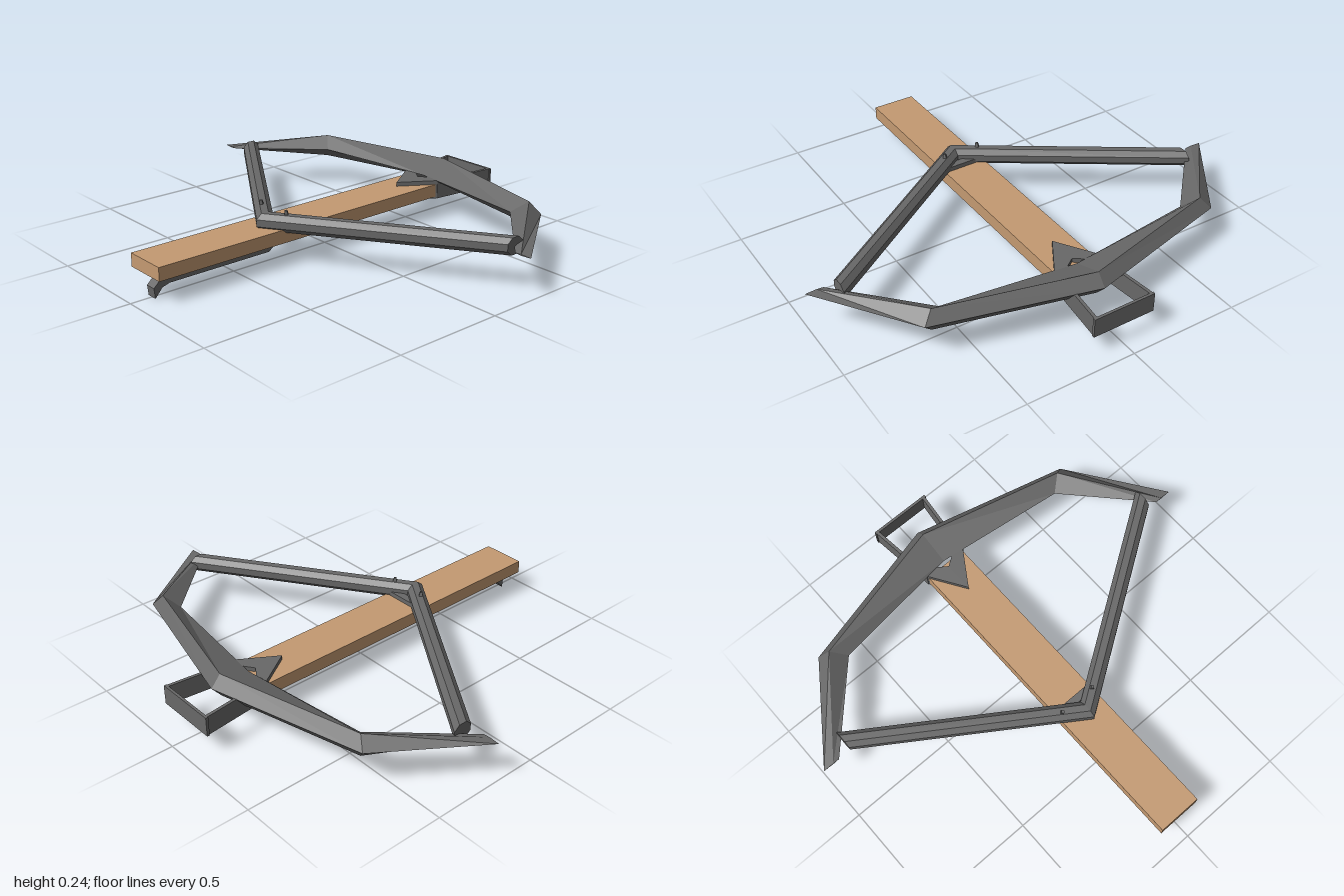
import * as THREE from 'three';

const wood = new THREE.MeshStandardMaterial({ color: 0xc49a72, flatShading: true });
wood.name = 'stock wood';
const steel = new THREE.MeshStandardMaterial({ color: 0x686868, flatShading: true });
steel.name = 'dark steel';

// Skin equal-sized rings of [x, y, z] points, listed from +x to -x, and cap both ends.
function loft(rings) {
  const n = rings[0].length, pos = rings.flat(2), idx = [];
  for (let i = 0; i < rings.length - 1; i++) {
    for (let j = 0; j < n; j++) {
      const a = i * n + j, b = i * n + (j + 1) % n, c = a + n, d = b + n;
      idx.push(a, c, b, b, c, d);
    }
  }
  const last = (rings.length - 1) * n;
  for (let j = 1; j < n - 1; j++) {
    idx.push(0, j, j + 1);
    idx.push(last, last + j + 1, last + j);
  }
  const indexed = new THREE.BufferGeometry();
  indexed.setAttribute('position', new THREE.Float32BufferAttribute(pos, 3));
  indexed.setIndex(idx);
  const g = indexed.toNonIndexed();
  g.computeVertexNormals();
  return g;
}

// Extrude a plan outline of [x, z] points between two heights.
function planExtrude(points, y0, y1) {
  const s = new THREE.Shape(points.map(([x, z]) => new THREE.Vector2(x, -z)));
  const g = new THREE.ExtrudeGeometry(s, { depth: y1 - y0, bevelEnabled: false });
  return g.rotateX(-Math.PI / 2).translate(0, y0, 0);
}

export function createModel() {
  const model = new THREE.Group();
  model.name = 'crossbow';
  const add = (name, geometry, material) => {
    const m = new THREE.Mesh(geometry, material);
    m.name = name;
    model.add(m);
    return m;
  };

  // Stock
  add('stock', new THREE.BoxGeometry(0.2, 0.06, 1.525).translate(0, 0.135, 0.1625), wood);

  // Bow: diamond section, flattened at the tips
  const midY = 0.183;
  const half = [ // outer, ridge and inner [x, z], then half height
    [[1, -0.195], [0.95, -0.195], [0.92, -0.195], 0.003],
    [[0.705, -0.615], [0.66, -0.585], [0.6, -0.535], 0.053],
    [[0, -0.795], [0, -0.75], [0, -0.61], 0.053],
  ];
  const bowRing = ([o, r, n, h], s) => [
    [s * o[0], midY, o[1]], [s * r[0], midY + h, r[1]],
    [s * n[0], midY, n[1]], [s * r[0], midY - h, r[1]],
  ];
  add('bow', loft([
    ...half.map((p) => bowRing(p, 1)),
    bowRing(half[1], -1), bowRing(half[0], -1),
  ]), steel);

  // Bowstring: octagonal bar bent at the latch
  const stringRing = (x, z) => Array.from({ length: 8 }, (_, k) => {
    const a = (k + 0.5) * Math.PI / 4;
    return [x, 0.187 + 0.0406 * Math.sin(a), z - 0.048 * Math.cos(a)];
  });
  add('bowstring', loft([
    stringRing(0.877, -0.245), stringRing(0.01, 0.338), stringRing(-0.858, -0.245),
  ]), steel);

  // Foot stirrup: rear plate and two splayed arms
  add('stirrupPlate', new THREE.BoxGeometry(0.29, 0.088, 0.012).translate(0, 0.14, -0.919), steel);
  for (const s of [1, -1]) {
    const arm = [[0.142, -0.92], [0.128, -0.92], [0.092, -0.6], [0.106, -0.6]];
    add(s > 0 ? 'leftStirrupArm' : 'rightStirrupArm',
      planExtrude(arm.map(([x, z]) => [s * x, z]), 0.097, 0.184), steel);
  }

  // Pointed bracket joining bow and stock
  add('bowBracket', planExtrude([
    [0.104, -0.6], [0, -0.437], [-0.104, -0.6], [-0.05, -0.61], [0, -0.575], [0.05, -0.61],
  ], 0.097, 0.184), steel);

  // String latch with two claws
  add('latch', planExtrude([
    [-0.1, 0.25], [0.1, 0.25], [0.07, 0.285], [-0.07, 0.285],
  ], 0.16, 0.185), steel);
  for (const s of [1, -1]) {
    const claw = new THREE.CylinderGeometry(0.008, 0.02, 0.08, 4)
      .rotateX(0.2).translate(s * 0.085, 0.203, 0.278);
    add(s > 0 ? 'leftClaw' : 'rightClaw', claw, steel);
  }

  // Trigger lever: side profile of [z, y] points
  const profile = [
    [0.285, 0.11], [0.285, 0.085], [0.33, 0.05], [0.83, 0.05], [0.865, 0.04], [0.9, 0],
    [0.905, 0.045], [0.87, 0.078], [0.83, 0.088], [0.335, 0.088], [0.31, 0.11],
  ];
  const shape = new THREE.Shape(profile.map(([z, y]) => new THREE.Vector2(-z, y)));
  add('trigger', new THREE.ExtrudeGeometry(shape, { depth: 0.05, bevelEnabled: false })
    .rotateY(Math.PI / 2).translate(-0.025, 0, 0), steel);

  return model;
}
